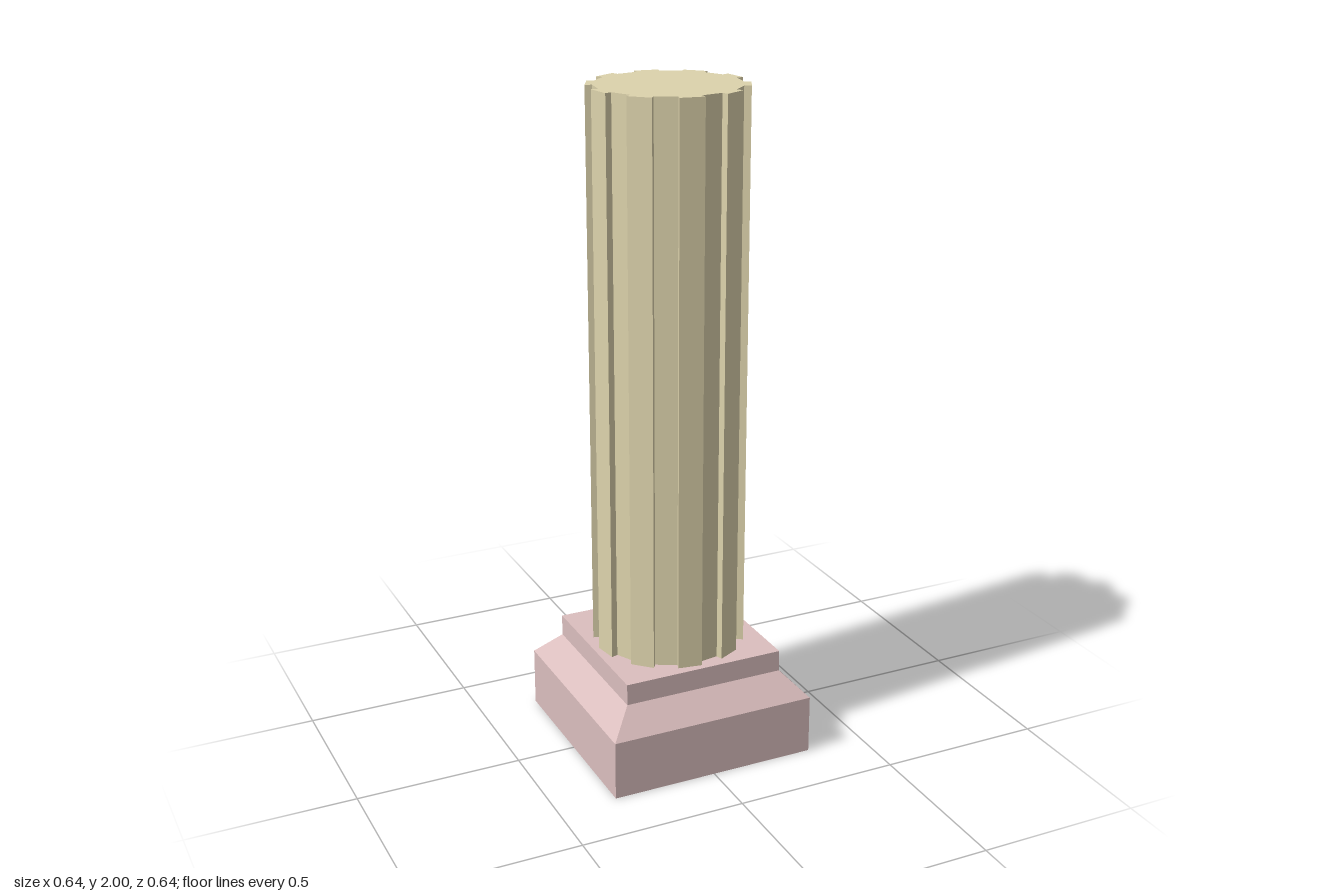
import * as THREE from 'three';

const SEGMENTS = 20;
const OUTER = 0.231, INNER = 0.21;
const BASE_TOP = 0.32, HEIGHT = 2;

// Shaft outline: ridges and flutes alternate every 18 degrees, with radial steps between
function flutedShape() {
  const points = [];
  for (let i = 0; i < SEGMENTS; i++) {
    const r = i % 2 === 0 ? OUTER : INNER;
    for (const k of [i, i + 1]) {
      const a = (k / SEGMENTS) * Math.PI * 2;
      points.push(new THREE.Vector2(r * Math.cos(a), r * Math.sin(a)));
    }
  }
  return new THREE.Shape(points);
}

export function createModel() {
  const model = new THREE.Group();
  model.name = 'column';

  // Fluted shaft
  const shaftGeometry = new THREE.ExtrudeGeometry(flutedShape(), {
    depth: HEIGHT - BASE_TOP, bevelEnabled: false,
  });
  shaftGeometry.rotateX(-Math.PI / 2);
  const shaft = new THREE.Mesh(shaftGeometry,
    new THREE.MeshStandardMaterial({ color: 0xddd3ac, flatShading: true }));
  shaft.name = 'flutedShaft';
  shaft.position.y = BASE_TOP;
  model.add(shaft);

  // Square plinth: [half width, height] steps turned with four sides
  const profile = [[0, 0], [0.32, 0], [0.32, 0.18], [0.25, 0.255], [0.25, BASE_TOP], [0, BASE_TOP]]
    .map(([half, y]) => new THREE.Vector2(half * Math.SQRT2, y));
  const plinth = new THREE.Mesh(
    new THREE.LatheGeometry(profile, 4, Math.PI / 4),
    new THREE.MeshStandardMaterial({ color: 0xdbbebe, flatShading: true }));
  plinth.name = 'plinth';
  model.add(plinth);

  return model;
}
